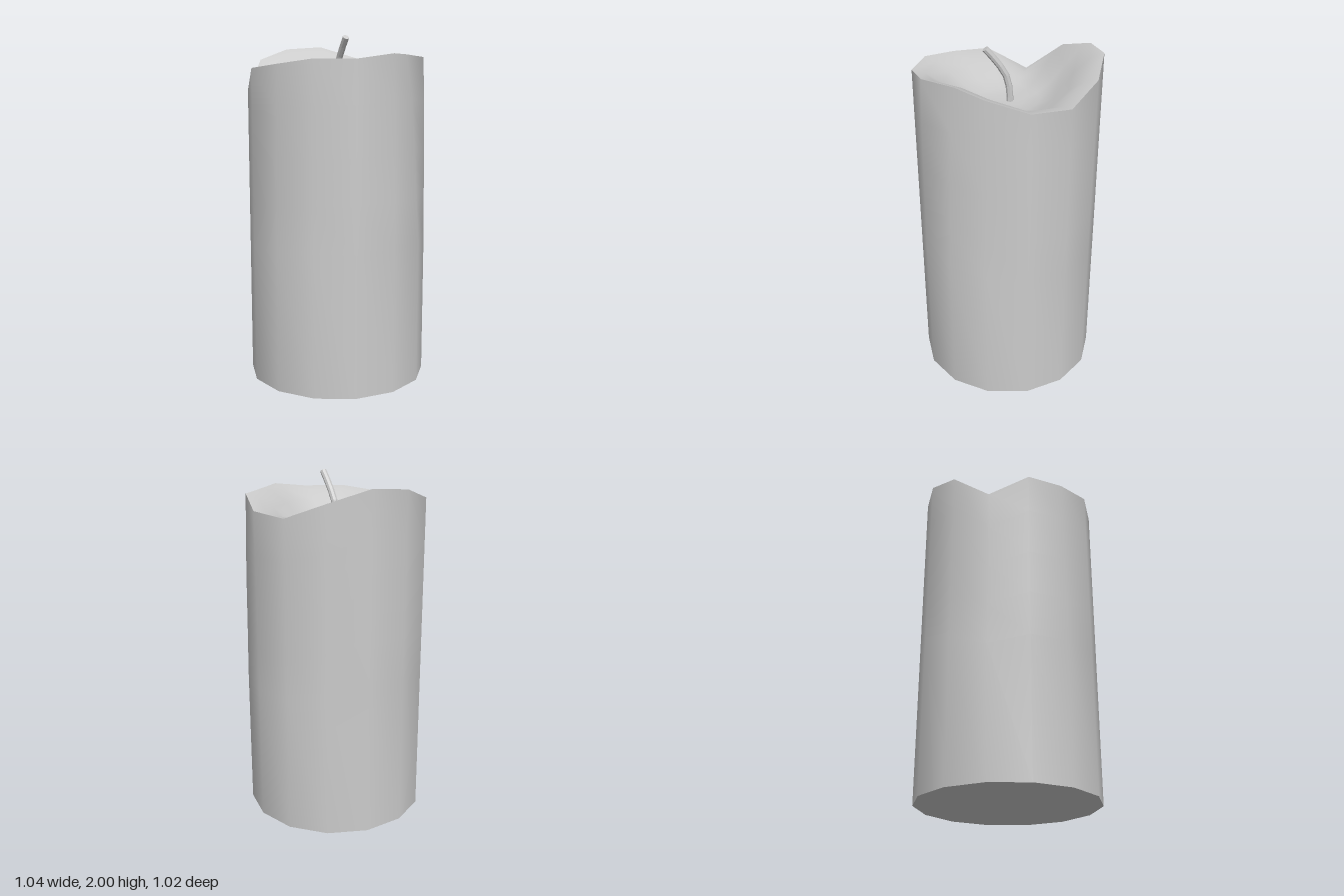
import * as THREE from 'three';

const SIDES = 14, RADIUS = 0.522, FLOOR = 1.68;
// height of the melted rim at each corner, from +x round through +z
const RIM = [1.815, 1.88, 1.89, 1.89, 1.86, 1.86, 1.835, 1.815, 1.69, 1.87, 1.938, 1.955, 1.885, 1.8];
// how far the softened wall leans inward at each corner of the rim
const SAG = [0, 0.02, 0.088, 0.022, 0, 0, 0.018, 0, 0, 0, 0, 0, 0, 0];

// closed rings of corners joined into one smooth surface
function ringSurface(rows, point) {
  const pos = [], index = [];
  rows.forEach((row, i) => {
    for (let k = 0; k < SIDES; k++) {
      const [r, y] = point(row, k);
      const a = (k / SIDES) * Math.PI * 2;
      pos.push(r * Math.cos(a), y, r * Math.sin(a));
      if (i === rows.length - 1) continue;
      const n = (k + 1) % SIDES;
      const p = i * SIDES + k, q = i * SIDES + n;
      index.push(p, p + SIDES, q + SIDES, p, q + SIDES, q);
    }
  });
  const geo = new THREE.BufferGeometry();
  geo.setAttribute('position', new THREE.Float32BufferAttribute(pos, 3));
  geo.setIndex(index);
  geo.computeVertexNormals();
  return geo;
}

export function createModel() {
  const group = new THREE.Group();
  const wax = new THREE.MeshStandardMaterial({ color: 0xcccccc });
  const cord = new THREE.MeshStandardMaterial({ color: 0xcccccc, flatShading: true });
  const add = (name, geo, mat) => {
    const mesh = new THREE.Mesh(geo, mat);
    mesh.name = name;
    group.add(mesh);
    return mesh;
  };

  // outer wall: rows of [fraction of rim height, fraction of sag]
  add('candleWall', ringSurface(
    [[0, 0], [0.44, 0], [0.58, 0.2], [0.72, 0.35], [0.87, 0.6], [1, 1]],
    ([h, s], k) => [RADIUS - SAG[k] * s, RIM[k] * h]), wax);

  // melted hollow: rows of [fraction of radius, fraction of rise from floor to rim]
  add('meltedHollow', ringSurface(
    [[1, 1], [0.86, 0.9], [0.69, 0.6], [0.52, 0.27], [0.35, 0.06], [0.17, 0.01], [0, 0]],
    ([f, t], k) => [(RADIUS - SAG[k]) * f, FLOOR + (RIM[k] - FLOOR) * t]), wax);

  // flat underside
  add('candleBase', new THREE.CircleGeometry(RADIUS, SIDES).rotateX(Math.PI / 2), wax);

  // bent wick with a flat tip
  const path = new THREE.CatmullRomCurve3(
    [[1.64, -0.014], [1.74, -0.012], [1.83, 0.008], [1.91, 0.058], [1.988, 0.122]]
      .map(([y, z]) => new THREE.Vector3(0, y, z)));
  add('wick', new THREE.TubeGeometry(path, 6, 0.019, 8), cord);
  const tip = add('wickTip', new THREE.CircleGeometry(0.019, 8), cord);
  tip.position.copy(path.getPoint(1));
  tip.lookAt(path.getPoint(1).add(path.getTangent(1)));

  return group;
}
